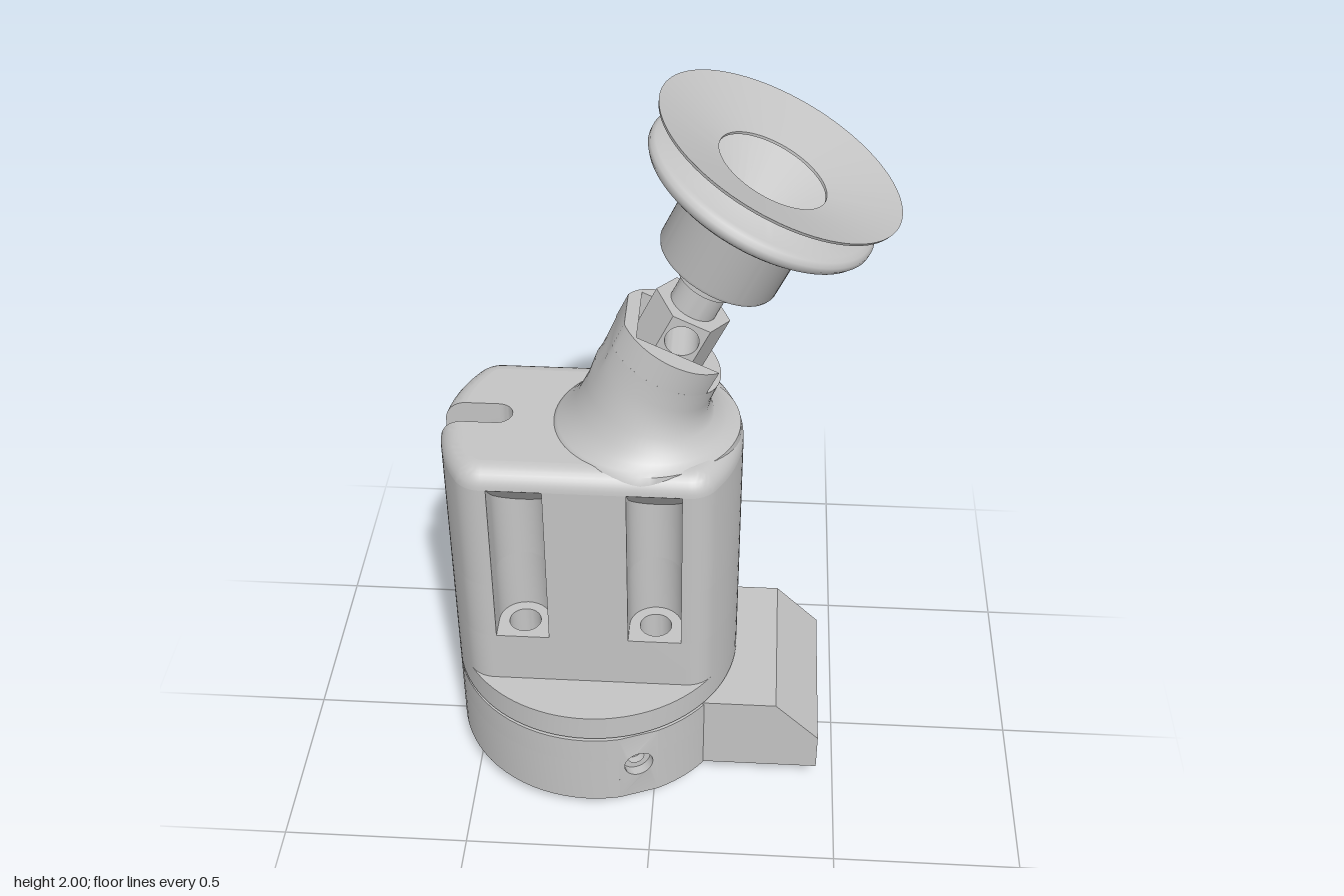
import * as THREE from 'three';
import { toCreasedNormals } from 'three/addons/utils/BufferGeometryUtils.js';

const R = 0.39, HALF = 0.25, FILLET = 0.08, CX = -0.175, TILT = 0.445;
const { cos, sin, PI } = Math;
const V2 = (x, y) => new THREE.Vector2(x, y);
const grey = new THREE.MeshStandardMaterial({ color: 0xc4c4c4 });
grey.name = 'grey';

function add(parent, name, geometry, crease = 0.55) {
  const mesh = new THREE.Mesh(toCreasedNormals(geometry, crease), grey);
  mesh.name = name;
  parent.add(mesh);
  return mesh;
}

// Plan shape (x, -z) raised from y0 to y1
function slab(shape, y0, y1) {
  const g = new THREE.ExtrudeGeometry(shape, { depth: y1 - y0, bevelEnabled: false, curveSegments: 20 });
  return g.rotateX(-PI / 2).translate(0, y0, 0);
}

function hole(x, y, r) {
  return new THREE.Path().absarc(x, y, r, 0, 2 * PI, true);
}

function arc(x, y, r, from, to, steps) {
  return Array.from({ length: steps + 1 }, (_, i) => {
    const t = from + (to - from) * i / steps;
    return V2(x + r * cos(t), y + r * sin(t));
  });
}

// Skin through closed rings that run counter-clockwise seen from above
function loft(rings) {
  const n = rings[0].length, index = [];
  for (let i = 0; i < rings.length - 1; i++) {
    for (let j = 0; j < n; j++) {
      const a = i * n + j, b = i * n + (j + 1) % n;
      index.push(a, b, b + n, a, b + n, a + n);
    }
  }
  const g = new THREE.BufferGeometry().setFromPoints(rings.flat());
  g.setIndex(index);
  return g;
}

// Round ended recess, opening at y = HALF
const recess = x => [V2(x + 0.07, HALF), ...arc(x, 0.185, 0.07, 0, -PI, 16), V2(x - 0.07, HALF)];

// Half of the cable slot, from the rim to its rounded end
const slotHalf = () => [V2(-0.387, 0.04), ...arc(-0.245, 0, 0.04, PI / 2, 0.01, 8)];

const mirrored = half => [...half, ...half.slice().reverse().map(p => V2(p.x, -p.y))];

// Round body with two flat sides and filleted corners
function bodyOutline({ inset = 0, pockets = false, slot = false }) {
  const r = R - inset, f = FILLET - inset, fy = HALF - FILLET;
  const fx = Math.sqrt((R - FILLET) ** 2 - fy ** 2), a = Math.atan2(fy, fx);
  const end = slot ? Math.asin(0.04 / r) : 0.001;
  const half = [...arc(0, 0, r, 0.001, a, 14), ...arc(fx, fy, f, a, PI / 2, 8).slice(1)];
  if (pockets) half.push(...recess(0.175), ...recess(-0.175));
  half.push(...arc(-fx, fy, f, PI / 2, PI - a, 8), ...arc(0, 0, r, PI - a, PI - end, 14).slice(1));
  if (slot) half.push(...slotHalf().slice(1));
  return mirrored(half);
}

// Disc outline with straight sided notches { a: angle, w: half angle, d: depth }
function notchedDisc(notches) {
  const pts = [];
  notches.forEach((n, k) => {
    const next = notches[(k + 1) % notches.length];
    const from = n.a + n.w, to = next.a - next.w + (k === notches.length - 1 ? 2 * PI : 0);
    for (const s of [-1, 1]) pts.push(V2(R * cos(n.a + s * n.w) - n.d * cos(n.a), R * sin(n.a + s * n.w) - n.d * sin(n.a)));
    pts.push(...arc(0, 0, R, from, to, 30));
  });
  return new THREE.Shape(pts);
}

function buildBase(root) {
  const base = new THREE.Group();
  base.name = 'base';
  base.position.x = CX;
  root.add(base);
  const side = 1.204, w = 0.14;
  const notches = [{ a: -side, w, d: 0.06 }, { a: side, w, d: 0.06 }, { a: 2.48, w: 0.045, d: 0.06 }];
  const plate = notchedDisc(notches);
  plate.holes.push(hole(0, 0, 0.175));
  for (let i = 0; i < 6; i++) plate.holes.push(hole(0.235 * cos(i * PI / 3 + 0.3), 0.235 * sin(i * PI / 3 + 0.3), 0.032));
  for (let i = 0; i < 8; i++) plate.holes.push(hole(0.295 * cos(i * PI / 4 + 0.15), 0.295 * sin(i * PI / 4 + 0.15), 0.02));
  add(base, 'mountingPlate', slab(plate, 0.07, 0.22));
  add(base, 'baseRing', slab(notchedDisc(notches), 0.22, 0.3));
  add(base, 'groove', new THREE.CylinderGeometry(0.38, 0.38, 0.02, 96).translate(0, 0.305, 0));
  add(base, 'flange', new THREE.CylinderGeometry(R, R, 0.075, 96).translate(0, 0.3475, 0));

  // Curved blocks with the radial screw holes
  const hw = R * sin(w);
  for (const turn of [PI / 2 - side, PI / 2 + side]) {
    const s = new THREE.Shape([V2(-hw, 0.07), V2(hw, 0.07), V2(hw, 0.3), V2(-hw, 0.3)]);
    s.holes.push(hole(0, 0.19, 0.04));
    const g = new THREE.ExtrudeGeometry(s, { depth: 0.064, bevelEnabled: false }).translate(0, 0, R - 0.064);
    const p = g.attributes.position;
    for (let i = 0; i < p.count; i++) p.setZ(i, p.getZ(i) - p.getX(i) ** 2 / (2 * R));
    add(base, 'sideHole', g.rotateY(turn));
    add(base, 'sideHoleSeat', new THREE.RingGeometry(0.022, 0.045, 24).translate(0, 0.19, R - 0.028).rotateY(turn));
  }
}

function buildConnector(root) {
  const profile = [V2(0.08, 0.073), V2(0.45, 0.073), V2(0.45, 0.185), V2(0.33, 0.305), V2(0.08, 0.305)];
  const g = new THREE.ExtrudeGeometry(new THREE.Shape(profile), { depth: 0.474, bevelEnabled: false });
  add(root, 'connector', g.translate(0, 0, -0.237));
  const pin = [V2(0, 0), V2(0.008, 0.002), V2(0.01, 0.01), V2(0.011, 0.035), V2(0.017, 0.05), V2(0.017, 0.08)];
  for (let i = 0; i < 8; i++) {
    add(root, 'contactPin', new THREE.LatheGeometry(pin, 12).translate(i % 2 ? 0.33 : 0.25, 0, -0.112 + 0.032 * i));
  }
}

function buildBody(root) {
  const body = new THREE.Group();
  body.name = 'body';
  body.position.x = CX;
  root.add(body);
  const lower = new THREE.Shape(bodyOutline({}));
  for (const x of [-0.175, 0.175]) for (const y of [-0.185, 0.185]) lower.holes.push(hole(x, y, 0.042));
  add(body, 'lowerBody', slab(lower, 0.385, 0.54));
  add(body, 'middleBody', slab(new THREE.Shape(bodyOutline({ pockets: true })), 0.54, 0.72));
  add(body, 'upperBody', slab(new THREE.Shape(bodyOutline({ pockets: true, slot: true })), 0.72, 1.035));

  // Rounded shoulder and flat top
  const r = 0.055, rings = [];
  for (let i = 0; i <= 8; i++) {
    const t = PI / 2 * i / 8;
    rings.push(bodyOutline({ inset: r * (1 - cos(t)), slot: true }).map(p => new THREE.Vector3(p.x, 1.035 + r * sin(t), -p.y)));
  }
  add(body, 'shoulder', loft(rings));
  const top = new THREE.Shape(bodyOutline({ inset: r, slot: true }));
  add(body, 'topFace', new THREE.ShapeGeometry(top).rotateX(-PI / 2).translate(0, 1.035 + r, 0));

  // Sloping pocket ceilings
  for (const x of [-0.175, 0.175]) {
    for (const turn of [0, PI]) {
      const g = slab(new THREE.Shape(recess(x).reverse()), 0.9, 1.036);
      const p = g.attributes.position;
      for (let i = 0; i < p.count; i++) if (p.getY(i) < 0.95) p.setY(i, 1.036 - (HALF + p.getZ(i)));
      add(body, 'pocketCeiling', g.rotateY(turn));
    }
  }

  // Sloping floor of the cable slot
  const ramp = slab(new THREE.Shape(mirrored(slotHalf())), 0.71, 0.74);
  const p = ramp.attributes.position;
  for (let i = 0; i < p.count; i++) if (p.getY(i) > 0.73) p.setY(i, 0.72 + (p.getX(i) + R) * 1.5);
  add(body, 'cableSlotFloor', ramp);
}

function buildNeck(root) {
  // Centre x, centre y, tilt, half width, half depth
  const sections = [
    [-0.035, 1.05, 0, 0.245, 0.245], [-0.035, 1.086, 0, 0.242, 0.238], [-0.034, 1.093, 0.02, 0.23, 0.226],
    [-0.028, 1.106, 0.07, 0.213, 0.21], [-0.021, 1.128, 0.15, 0.194, 0.193], [-0.024, 1.165, 0.28, 0.168, 0.173],
    [-0.018, 1.215, 0.4, 0.157, 0.16], [-0.008, 1.25, TILT, 0.155, 0.155], [0.013, 1.3, TILT, 0.155, 0.155],
  ];
  const rings = sections.map(([x, y, t, rx, rz]) => Array.from({ length: 64 }, (_, j) => {
    const a = 2 * PI * j / 64, dx = rx * Math.max(cos(a), t === TILT ? -0.903 : -1);
    return new THREE.Vector3(x + dx * cos(t), y - dx * sin(t), -rz * sin(a));
  }));
  add(root, 'neck', loft(rings), 0.9);
}

function buildSuctionArm(root) {
  const arm = new THREE.Group();
  arm.name = 'suctionArm';
  arm.position.set(0.28, 1.86, 0);
  arm.rotation.z = -TILT;
  root.add(arm);

  // Neck head, open towards the front of the tilt, with a flat at the back
  const a = Math.asin(0.1 / 0.155), b = PI - Math.acos(0.14 / 0.155);
  const head = mirrored([V2(-0.105, 0.1), ...arc(0, 0, 0.155, a, b, 20)].reverse()).reverse();
  add(arm, 'neckHead', slab(new THREE.Shape(head), -0.622, -0.55));
  const cap = new THREE.Shape(mirrored(arc(0, 0, 0.155, 0.01, b, 30)));
  add(arm, 'neckSeat', new THREE.ShapeGeometry(cap).rotateX(-PI / 2).translate(0, -0.62, 0));

  // Hexagonal pivot nut with a through hole
  const flat = 0.0866, block = new THREE.Shape([V2(-0.05, -0.622), V2(0.05, -0.622), V2(0.05, -0.462), V2(-0.05, -0.462)]);
  block.holes.push(hole(0, -0.517, 0.042));
  const g = new THREE.ExtrudeGeometry(block, { depth: 2 * flat, bevelEnabled: false, curveSegments: 20 });
  add(arm, 'pivotNut', g.translate(0, 0, -flat));
  const wedge = new THREE.Shape([V2(0.05, -flat), V2(0.1, 0), V2(0.05, flat)]);
  for (const turn of [0, PI]) add(arm, 'pivotNutSide', slab(wedge, -0.622, -0.462).rotateY(turn));
  add(arm, 'rod', new THREE.CylinderGeometry(0.061, 0.061, 0.1, 40).translate(0, -0.42, 0));
  add(arm, 'collar', new THREE.CylinderGeometry(0.08, 0.08, 0.06, 40).translate(0, -0.355, 0));

  // Cup turned in one profile: outside up to the lip, then down the inside
  const profile = [
    [0, -0.335], [0.143, -0.335], [0.152, -0.331], [0.156, -0.322], [0.156, -0.18], [0.16, -0.171], [0.172, -0.163],
    [0.27, -0.123], [0.284, -0.114], [0.292, -0.102], [0.292, -0.09], [0.284, -0.08], [0.27, -0.075],
    [0.21, -0.06], [0.2, -0.052], [0.205, -0.044], [0.311, -0.006], [0.314, 0.002],
    [0.14, -0.045], [0.14, -0.052], [0.255, -0.088], [0.255, -0.098], [0.09, -0.19], [0.09, -0.21], [0.042, -0.21],
    [0.042, -0.3], [0, -0.3],
  ].map(([x, y]) => V2(x, y));
  add(arm, 'suctionCup', new THREE.LatheGeometry(profile, 96), 0.7);
}

export function createModel() {
  const root = new THREE.Group();
  root.name = 'suctionGripper';
  buildBase(root);
  buildConnector(root);
  buildBody(root);
  buildNeck(root);
  buildSuctionArm(root);
  return root;
}
